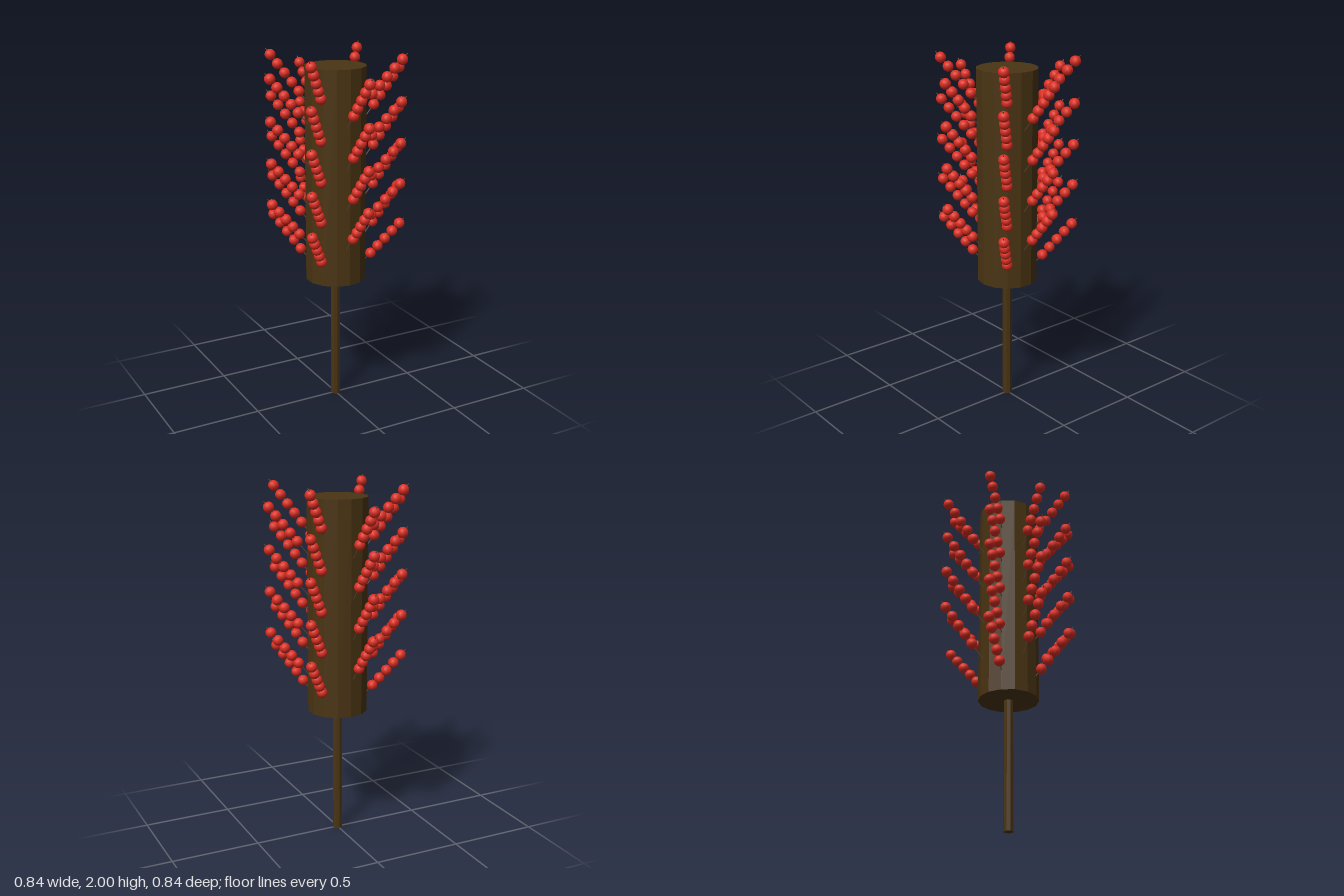
import * as THREE from 'three';

export function createModel() {
  const group = new THREE.Group();
  const wood = new THREE.MeshStandardMaterial({ color: 0x4a3413, flatShading: true });
  const stickMat = new THREE.MeshStandardMaterial({ color: 0x6b4c38 });
  const red = new THREE.MeshStandardMaterial({ color: 0xdc2e22 });

  const add = (parent, name, geometry, material, x, y, z) => {
    const mesh = new THREE.Mesh(geometry, material);
    mesh.name = name;
    mesh.position.set(x, y, z);
    parent.add(mesh);
    return mesh;
  };

  // Straw drum on a pole
  add(group, 'pole', new THREE.CylinderGeometry(0.027, 0.027, 0.74, 8), wood, 0, 0.37, 0);
  add(group, 'drum', new THREE.CylinderGeometry(0.168, 0.168, 1.195, 14), wood, 0, 1.3275, 0);

  // One skewer: its origin is the outermost berry, it leans out along +x
  const step = new THREE.Vector2(0.04, 0.0475);
  const lean = -Math.atan2(step.x, step.y);
  const inner = -0.245, outer = 0.027; // stick ends, measured outwards
  const stickGeo = new THREE.CylinderGeometry(0.0028, 0.0028, (outer - inner) * step.length() / step.x, 6);
  const berryGeo = new THREE.SphereGeometry(0.03, 10, 8);

  function skewer(x, y, z, angle) {
    const s = new THREE.Group();
    s.name = 'skewer';
    const mid = (inner + outer) / 2;
    add(s, 'stick', stickGeo, stickMat, mid, mid * step.y / step.x, 0).rotation.z = lean;
    for (let i = 0; i < 5; i++) {
      add(s, 'berry', berryGeo, red, -i * step.x, -i * step.y, 0).rotation.z = lean;
    }
    s.position.set(x, y, z);
    s.rotation.y = angle;
    group.add(s);
  }

  // Eight columns: four straight ones with 4 rows, four diagonal ones with 5 rows
  const pitch = 0.2237;
  for (let q = 0; q < 4; q++) {
    const a = q * Math.PI / 2, d = a + Math.PI / 4;
    const alongX = q % 2 === 0;
    const x = alongX ? 0.39 * Math.cos(a) : -0.017;
    const z = alongX ? 0.014 : -0.39 * Math.sin(a);
    for (let row = 0; row < 4; row++) skewer(x, 1.885 - row * pitch, z, a);
    for (let row = 0; row < 5; row++) {
      skewer(0.267 * Math.sign(Math.cos(d)), 1.968 - row * pitch, -0.239 * Math.sign(Math.sin(d)), d);
    }
  }
  return group;
}
